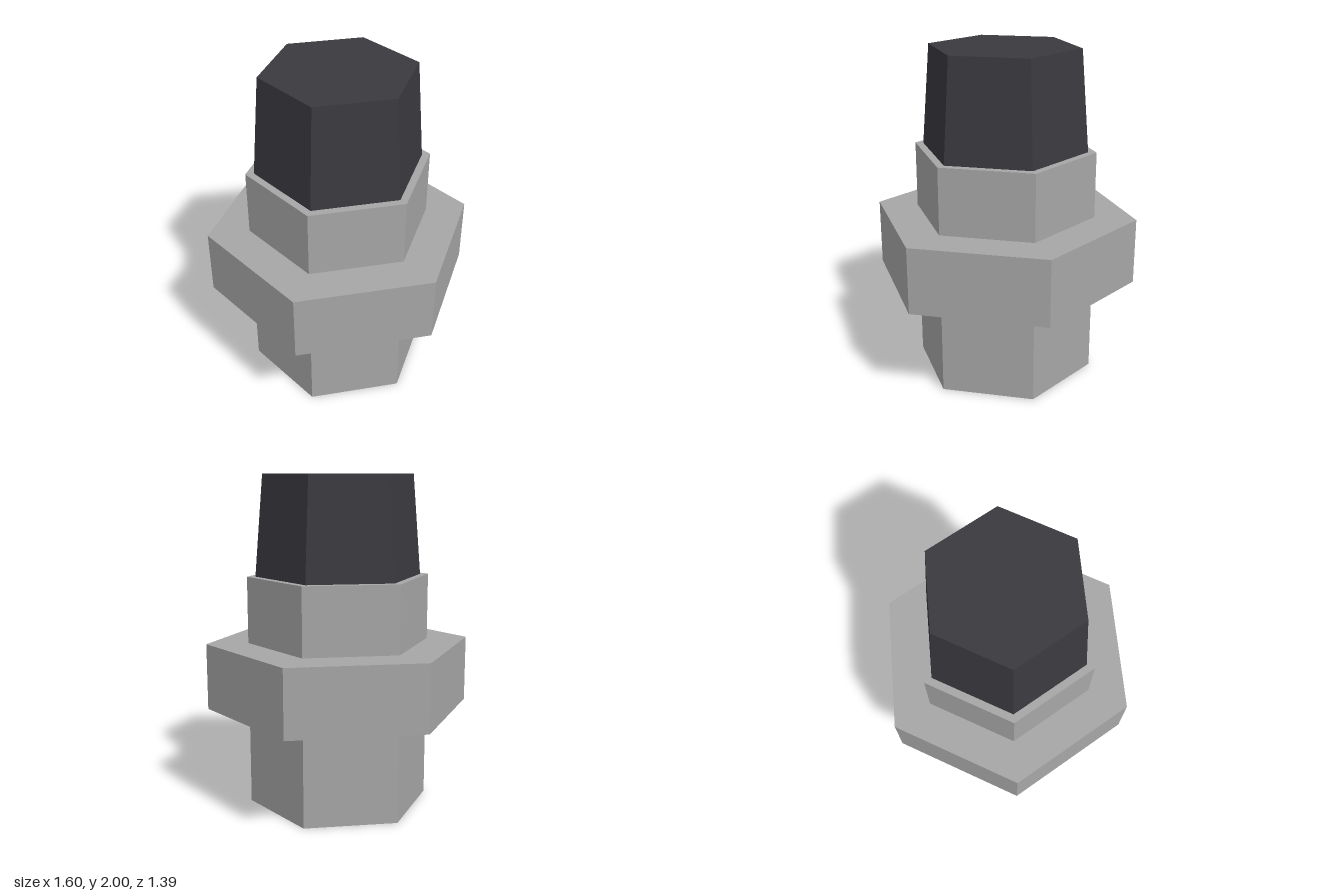
import * as THREE from 'three';

export function createModel() {
  const group = new THREE.Group();
  const metal = new THREE.MeshStandardMaterial({ name: 'grey metal', color: 0xa6a6a6, flatShading: true });
  const dark = new THREE.MeshStandardMaterial({ name: 'dark cap', color: 0x39393f, flatShading: true });

  // Hexagonal prism between two heights, with corners on the x axis
  function hexPrism(name, material, bottomRadius, topRadius, y0, y1) {
    const geometry = new THREE.CylinderGeometry(topRadius, bottomRadius, y1 - y0, 6, 1, false, Math.PI / 6);
    geometry.translate(0, (y0 + y1) / 2, 0);
    const mesh = new THREE.Mesh(geometry, material);
    mesh.name = name;
    group.add(mesh);
  }

  hexPrism('lowerBody', metal, 0.55, 0.55, 0, 0.6);
  hexPrism('collar', metal, 0.8, 0.8, 0.6, 1);
  hexPrism('upperBody', metal, 0.55, 0.55, 1, 1.4);
  hexPrism('taperedCap', dark, 0.5, 0.45, 1.4, 2);

  return group;
}
